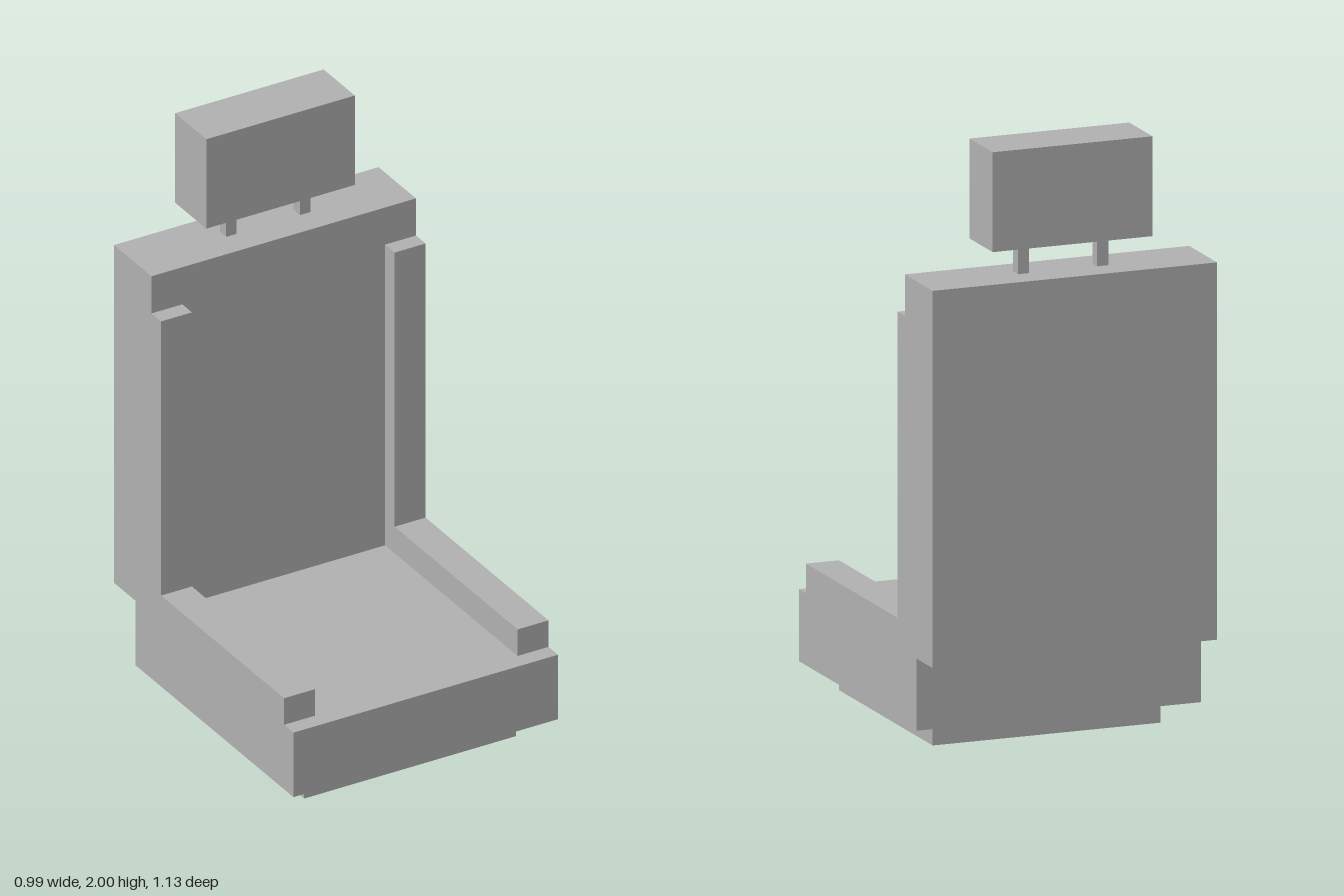
import * as THREE from 'three';

export function createModel() {
  const model = new THREE.Group();
  model.name = 'carSeat';
  const grey = new THREE.MeshStandardMaterial({ color: 0xb0b0b0 });
  grey.name = 'seatGrey';

  // Box given by its minimum and maximum on each axis
  function block(name, [x0, x1], [y0, y1], [z0, z1]) {
    const mesh = new THREE.Mesh(new THREE.BoxGeometry(x1 - x0, y1 - y0, z1 - z0), grey);
    mesh.position.set((x0 + x1) / 2, (y0 + y1) / 2, (z0 + z1) / 2);
    mesh.name = name;
    model.add(mesh);
  }

  // Main slabs
  block('base', [-0.395, 0.395], [0, 0.082], [-0.325, 0.465]);
  block('seatCushion', [-0.493, 0.493], [0.082, 0.32], [-0.427, 0.563]);
  block('backrest', [-0.493, 0.493], [0.32, 1.567], [-0.563, -0.328]);
  block('headrest', [-0.277, 0.277], [1.67, 2], [-0.544, -0.348]);

  // Side bolsters and headrest posts, mirrored left and right
  for (const [side, s] of [['left', 1], ['right', -1]]) {
    const span = (a, b) => (s > 0 ? [a, b] : [-b, -a]);
    block(side + 'SeatBolster', span(0.378, 0.493), [0.32, 0.418], [-0.328, 0.504]);
    block(side + 'BackBolster', span(0.378, 0.493), [0.418, 1.43], [-0.328, -0.268]);
    block(side + 'HeadrestPost', span(0.118, 0.157), [1.567, 1.67], [-0.464, -0.425]);
  }
  return model;
}
